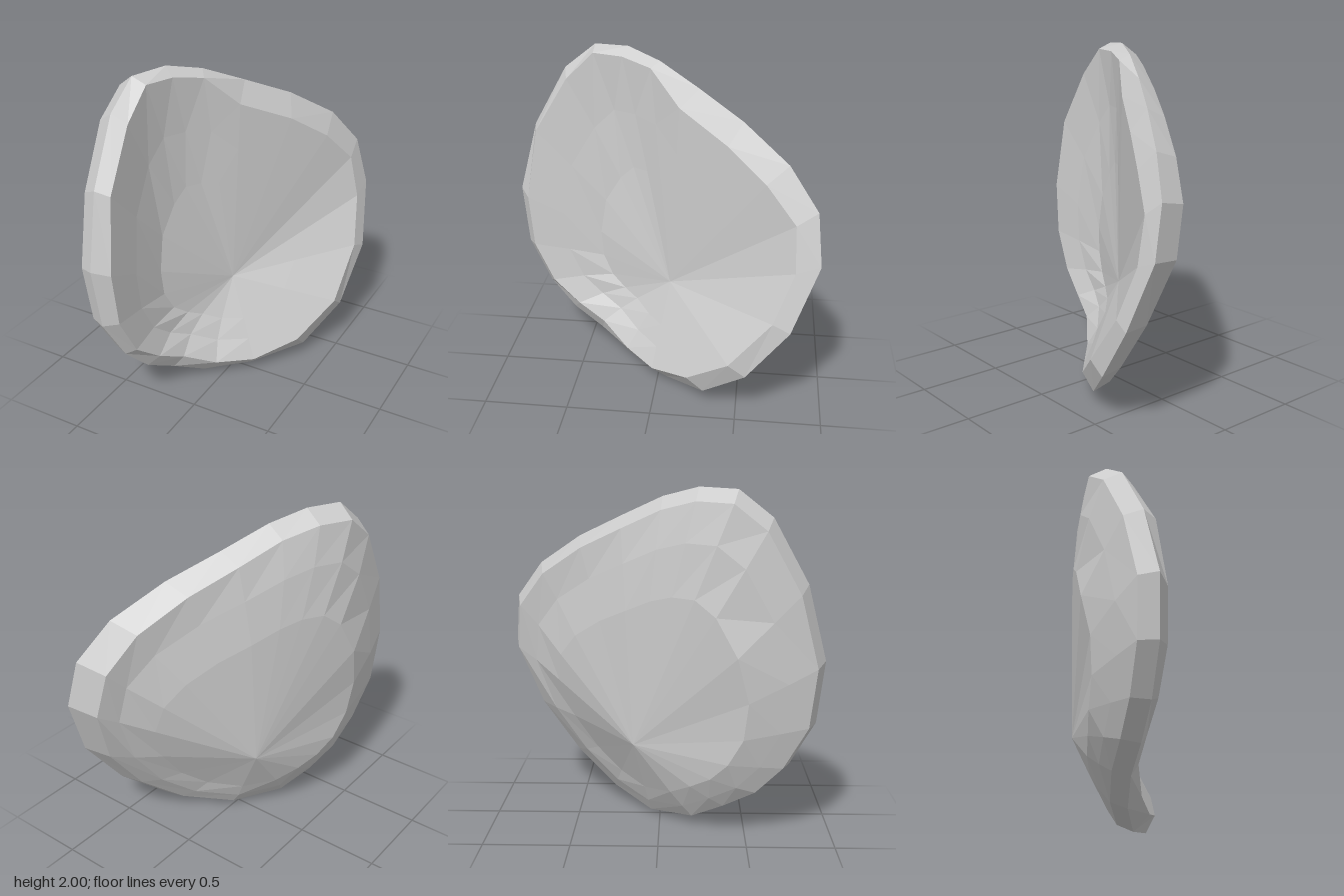
import * as THREE from 'three';

// Outer lip of the shell, and the inner edge of that lip: [x, y, z] in matching order
const RIM = [
  [-0.38, 1.99, 0.43], [-0.30, 2.00, 0.22], [-0.19, 1.945, 0.02], [-0.05, 1.83, -0.22], [0.12, 1.70, -0.48],
  [0.29, 1.52, -0.74], [0.40, 1.30, -0.905], [0.47, 1.01, -0.935], [0.53, 0.62, -0.79], [0.49, 0.29, -0.55],
  [0.35, 0.08, -0.30], [0.10, 0, -0.05], [-0.10, 0.04, 0.21], [-0.20, 0.15, 0.40], [-0.26, 0.26, 0.59],
  [-0.30, 0.43, 0.75], [-0.34, 0.69, 0.89], [-0.36, 1.05, 0.93], [-0.38, 1.48, 0.82], [-0.39, 1.84, 0.62],
];
const LIP = [
  [-0.29, 1.955, 0.43], [-0.24, 1.95, 0.25], [-0.15, 1.91, 0.07], [-0.02, 1.72, -0.11], [0.17, 1.57, -0.40],
  [0.31, 1.41, -0.62], [0.41, 1.22, -0.79], [0.465, 0.96, -0.80], [0.51, 0.66, -0.69], [0.49, 0.36, -0.45],
  [0.35, 0.165, -0.20], [0.16, 0.09, 0.03], [-0.01, 0.12, 0.21], [-0.14, 0.23, 0.38], [-0.20, 0.32, 0.55],
  [-0.24, 0.46, 0.72], [-0.26, 0.70, 0.84], [-0.27, 1.02, 0.87], [-0.29, 1.46, 0.80], [-0.30, 1.79, 0.60],
];
const INNER_HUB = [-0.04, 0.60, -0.06];
const BACK_HUB = [-0.25, 0.52, -0.15];

// Plan curve of the convex back: [z, x]
const BACK_CURVE = [[-0.9, 0.28], [-0.73, 0.12], [-0.4, -0.1], [-0.2, -0.24], [0, -0.36], [0.2, -0.46], [0.4, -0.54], [0.72, -0.53], [0.9, -0.46]];

const { lerp, clamp } = THREE.MathUtils;
const toward = (p, hub, t) => p.map((v, k) => lerp(v, hub[k], t));

function backX(z) {
  let i = 0;
  while (i < BACK_CURVE.length - 2 && z > BACK_CURVE[i + 1][0]) i++;
  const [z0, x0] = BACK_CURVE[i], [z1, x1] = BACK_CURVE[i + 1];
  return lerp(x0, x1, clamp((z - z0) / (z1 - z0), 0, 1));
}

// Rounded back edge, thicker towards the rear
const backEdge = () => RIM.map((p) => {
  const [, y, z] = toward(p, BACK_HUB, 0.05);
  return [p[0] - 0.1 - 0.09 * clamp(-p[2], 0, 1), y, z];
});

// Bulging back, flatter near the bottom
const backRing = (t, bulge) => RIM.map((p) => {
  const [, y, z] = toward(p, BACK_HUB, t);
  return [lerp(p[0], backX(z), bulge * Math.min(0.97, 0.38 + 0.56 * y)), y, z];
});

// Hollow face, dished behind the front lip
const hollowRing = (t, depth) => LIP.map((p) => {
  const [x, y, z] = toward(p, INNER_HUB, t);
  return [x - depth * clamp(z / 0.4, 0, 1), y, z];
});

// Skin consecutive rings, from the back hub over the lip to the inner hub
function skin(rings) {
  const n = RIM.length, last = rings.length - 2, index = [];
  for (let r = 0; r <= last; r++) {
    for (let i = 0; i < n; i++) {
      const a = r * n + i, b = r * n + (i + 1) % n;
      if (r > 0) index.push(a, a + n, b);
      if (r < last) index.push(b, a + n, b + n);
    }
  }
  const geometry = new THREE.BufferGeometry();
  geometry.setAttribute('position', new THREE.Float32BufferAttribute(rings.flat(2), 3));
  geometry.setIndex(index);
  const flat = geometry.toNonIndexed();
  flat.computeVertexNormals();
  return flat;
}

export function createModel() {
  const grey = new THREE.MeshStandardMaterial({ color: 0xcccccc, flatShading: true });
  grey.name = 'light grey';

  const shell = new THREE.Mesh(skin([
    RIM.map(() => BACK_HUB), backRing(0.4, 1), backRing(0.2, 0.85), backEdge(),
    RIM, LIP,
    hollowRing(0.25, 0.06), hollowRing(0.5, 0.11), RIM.map(() => INNER_HUB),
  ]), grey);
  shell.name = 'curvedShell';

  const model = new THREE.Group();
  model.name = 'shell';
  model.add(shell);
  return model;
}
